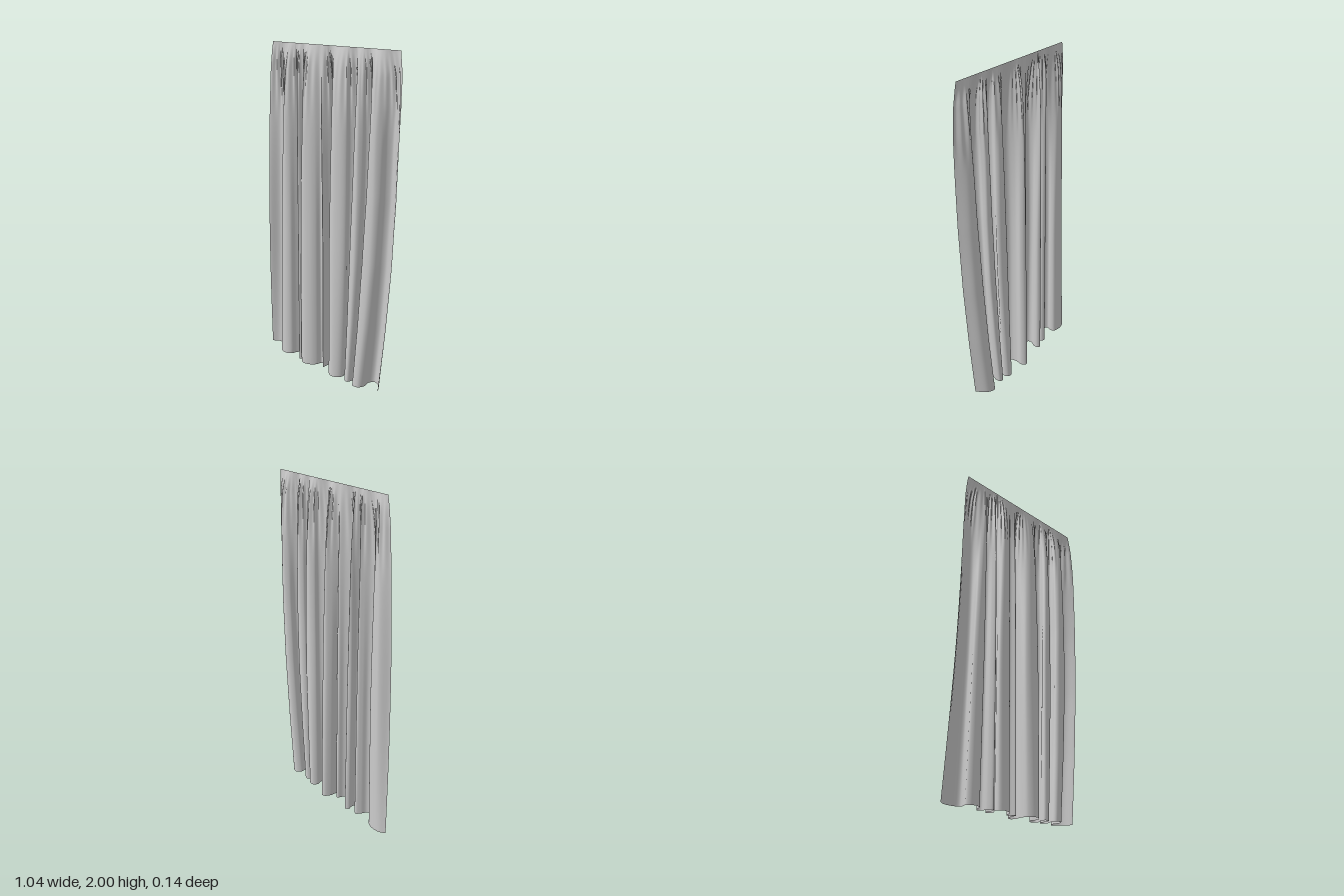
import * as THREE from 'three';

const COLS = 480, ROWS = 64, HEIGHT = 2;

// Plan of the folds along the bottom hem: [x, z] from the right side to the left side
const HEM = [
  [-0.52, -0.005], [-0.48, -0.03], [-0.42, -0.035], [-0.385, -0.02], [-0.38, 0.005],
  [-0.39, 0.03], [-0.37, 0.05], [-0.33, 0.052], [-0.3, 0.035], [-0.285, 0],
  [-0.265, -0.025], [-0.245, -0.015], [-0.235, 0.02], [-0.215, 0.045], [-0.2, 0.03],
  [-0.195, 0], [-0.203, -0.025], [-0.185, -0.042], [-0.168, -0.028], [-0.17, 0],
  [-0.19, 0.03], [-0.185, 0.055], [-0.155, 0.068], [-0.11, 0.052], [-0.083, 0.025],
  [-0.068, -0.01], [-0.052, -0.008], [-0.028, 0.022], [-0.02, -0.03], [0, -0.066],
  [0.02, -0.07], [0.037, -0.045], [0.03, 0], [0.04, 0.042], [0.08, 0.066],
  [0.12, 0.05], [0.138, 0.02], [0.128, -0.02], [0.15, -0.05], [0.18, -0.045],
  [0.19, -0.02], [0.168, 0.02], [0.172, 0.045], [0.198, 0.05], [0.212, 0.02],
  [0.208, -0.015], [0.225, -0.038], [0.25, -0.03], [0.252, 0], [0.238, 0.035],
  [0.25, 0.06], [0.29, 0.058], [0.312, 0.025], [0.308, -0.025], [0.332, -0.053],
  [0.378, -0.035], [0.42, 0.03],
];

// Sideways drift of the two vertical edges with height: [y, shift]
const LEFT_DRIFT = [[0, 0], [0.4, 0.041], [0.8, 0.073], [1.2, 0.092], [1.7, 0.1], [1.88, 0.096], [2, 0.078]];
const RIGHT_DRIFT = [[0, 0], [0.8, 0.03], [1.6, 0.056], [1.85, 0.068], [1.95, 0.08], [2, 0.09]];

function sample(table, y) {
  let i = 1;
  while (i < table.length - 1 && table[i][0] < y) i++;
  const [y0, a] = table[i - 1], [y1, b] = table[i];
  return a + (b - a) * (y - y0) / (y1 - y0);
}

// Averages x along the hem so that overlapping folds open out at the heading
function smoothAlong(points, radius) {
  const at = (i) => {
    if (i < 0) return 2 * points[0].x - points[-i].x;
    if (i > COLS) return 2 * points[COLS].x - points[2 * COLS - i].x;
    return points[i].x;
  };
  return points.map((_, i) => {
    let sum = 0;
    for (let k = -radius; k <= radius; k++) sum += at(i + k);
    return sum / (2 * radius + 1);
  });
}

function createCurtainGeometry() {
  const curve = new THREE.CatmullRomCurve3(HEM.map(([x, z]) => new THREE.Vector3(x, 0, z)));
  curve.arcLengthDivisions = 2000;
  const hem = curve.getSpacedPoints(COLS);
  const openX = smoothAlong(hem, 22);
  const geometry = new THREE.PlaneGeometry(1, HEIGHT, COLS, ROWS);
  const pos = geometry.attributes.position;
  const { smoothstep, lerp } = THREE.MathUtils;

  for (let j = 0; j <= ROWS; j++) {
    // Rows sit closer together near the gathered heading
    const y = HEIGHT * (1 - Math.pow(j / ROWS, 1.5));
    const open = smoothstep(y, 0.7, 2);
    const depth = (1 - 0.18 * y) * (1 - Math.pow(y / HEIGHT, 12));
    const gather = smoothstep(y, 1.5, 1.88) * (1 - smoothstep(y, 1.88, 2));
    const left = sample(LEFT_DRIFT, y), right = sample(RIGHT_DRIFT, y);

    for (let i = 0; i <= COLS; i++) {
      const s = i / COLS, p = hem[i];
      let x = lerp(p.x, openX[i], open);
      x += left * smoothstep(p.x, 0.05, 0.33) + right * (1 - smoothstep(p.x, -0.52, -0.15));
      // Small uneven pleats below the heading
      const pleat = Math.sin(s * 270 + 2 * Math.sin(s * 23)) * (0.6 + 0.4 * Math.sin(s * 41));
      // Free edge on the right side swings forward at mid height
      const swing = 0.025 * Math.sin(Math.PI * y / HEIGHT) * (1 - smoothstep(p.x, -0.52, -0.46));
      const z = 0.008 * (y / HEIGHT) + p.z * depth + 0.006 * gather * pleat + swing;
      // Hem lifts slightly at the left side
      const lift = 0.008 * smoothstep(p.x, 0.2, 0.4) * (1 - y / HEIGHT);
      pos.setXYZ(j * (COLS + 1) + i, x, y + lift, z);
    }
  }
  geometry.computeVertexNormals();
  return geometry;
}

export function createModel() {
  const group = new THREE.Group();
  group.name = 'curtain';
  const material = new THREE.MeshStandardMaterial({ color: 0xcccccc, side: THREE.DoubleSide });
  const cloth = new THREE.Mesh(createCurtainGeometry(), material);
  cloth.name = 'curtainCloth';
  group.add(cloth);
  return group;
}
